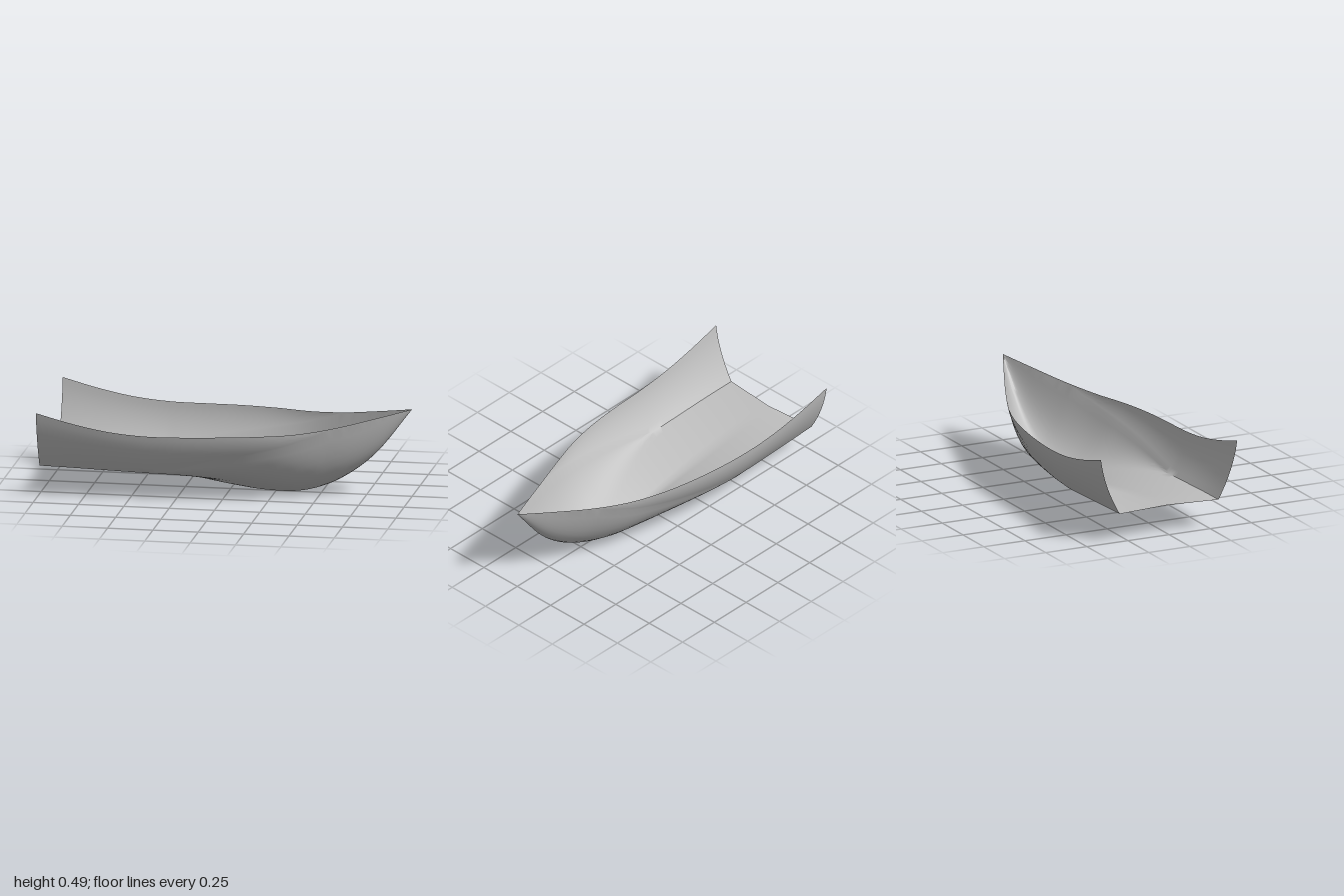
import * as THREE from 'three';
import { toCreasedNormals } from 'three/addons/utils/BufferGeometryUtils.js';

// Hull lines at evenly spaced stations from stern (x = -1) to bow (x = 1)
const keelY = [0.16, 0.141, 0.117, 0.09, 0.06, 0.026, 0.002, 0.008, 0.08, 0.232, 0.485];
const chineY = [0.157, 0.153, 0.147, 0.141, 0.134, 0.126, 0.113, 0.1, 0.13, 0.26, 0.485];
const chineZ = [0.3, 0.303, 0.304, 0.304, 0.298, 0.278, 0.243, 0.195, 0.122, 0.057, 0];
const sheerY = [0.477, 0.425, 0.387, 0.37, 0.37, 0.374, 0.377, 0.382, 0.405, 0.443, 0.485];
const sheerZ = [0.414, 0.412, 0.409, 0.404, 0.395, 0.374, 0.335, 0.27, 0.187, 0.095, 0];

function line(ys, zs) {
  const points = ys.map((y, i) => new THREE.Vector3(-1 + 0.2 * i, y, zs ? zs[i] : 0));
  return new THREE.CatmullRomCurve3(points, false, 'catmullrom', 0.5);
}
const keel = line(keelY);
const chine = line(chineY, chineZ);
const sheer = line(sheerY, sheerZ);

const SEG = 8; // steps in each of bottom, bilge and side

// Half section from keel to sheer: the chine is sharp aft and rounds off forward
function halfSection(t) {
  const k = keel.getPoint(t), c = chine.getPoint(t), s = sheer.getPoint(t);
  const r = THREE.MathUtils.clamp((k.x + 0.4) / 1.0, 0, 0.96);
  const a = c.clone().lerp(k, r);
  const b = c.clone().lerp(s, r);
  const bilge = new THREE.QuadraticBezierCurve3(a, c, b);
  const pts = [];
  for (let i = 0; i < SEG; i++) pts.push(k.clone().lerp(a, i / SEG));
  for (let i = 0; i < SEG; i++) pts.push(bilge.getPoint(i / SEG));
  for (let i = 0; i <= SEG; i++) {
    const u = i / SEG;
    const p = b.clone().lerp(s, u);
    p.z += 0.018 * (1 - r) * 4 * u * (1 - u) * (s.z / 0.41);
    pts.push(p);
  }
  // Slightly hollow stern edge
  const fade = Math.max(0, 1 - t * 5);
  pts.forEach((p) => { p.x += 0.025 * fade * Math.max(0, 1 - p.z / 0.3); });
  return pts;
}

function hullGeometry() {
  const rows = 80;
  const positions = [], index = [];
  let width = 0;
  for (let i = 0; i <= rows; i++) {
    const half = halfSection(i / rows);
    const mirrored = half.slice(1).reverse().map((p) => new THREE.Vector3(p.x, p.y, -p.z));
    const ring = [...mirrored, ...half];
    width = ring.length;
    ring.forEach((p) => positions.push(p.x, p.y, p.z));
  }
  for (let i = 0; i < rows; i++) {
    for (let j = 0; j < width - 1; j++) {
      const a = i * width + j, b = a + width;
      index.push(a, b, a + 1, b, b + 1, a + 1);
    }
  }
  const geometry = new THREE.BufferGeometry();
  geometry.setAttribute('position', new THREE.Float32BufferAttribute(positions, 3));
  geometry.setIndex(index);
  return toCreasedNormals(geometry, 0.8);
}

export function createModel() {
  const group = new THREE.Group();
  group.name = 'boatHull';
  const grey = new THREE.MeshStandardMaterial({ color: 0xc0c0c0, side: THREE.DoubleSide });
  grey.name = 'hull grey';
  // Open shell without deck or transom
  const hull = new THREE.Mesh(hullGeometry(), grey);
  hull.name = 'hullShell';
  group.add(hull);
  return group;
}
